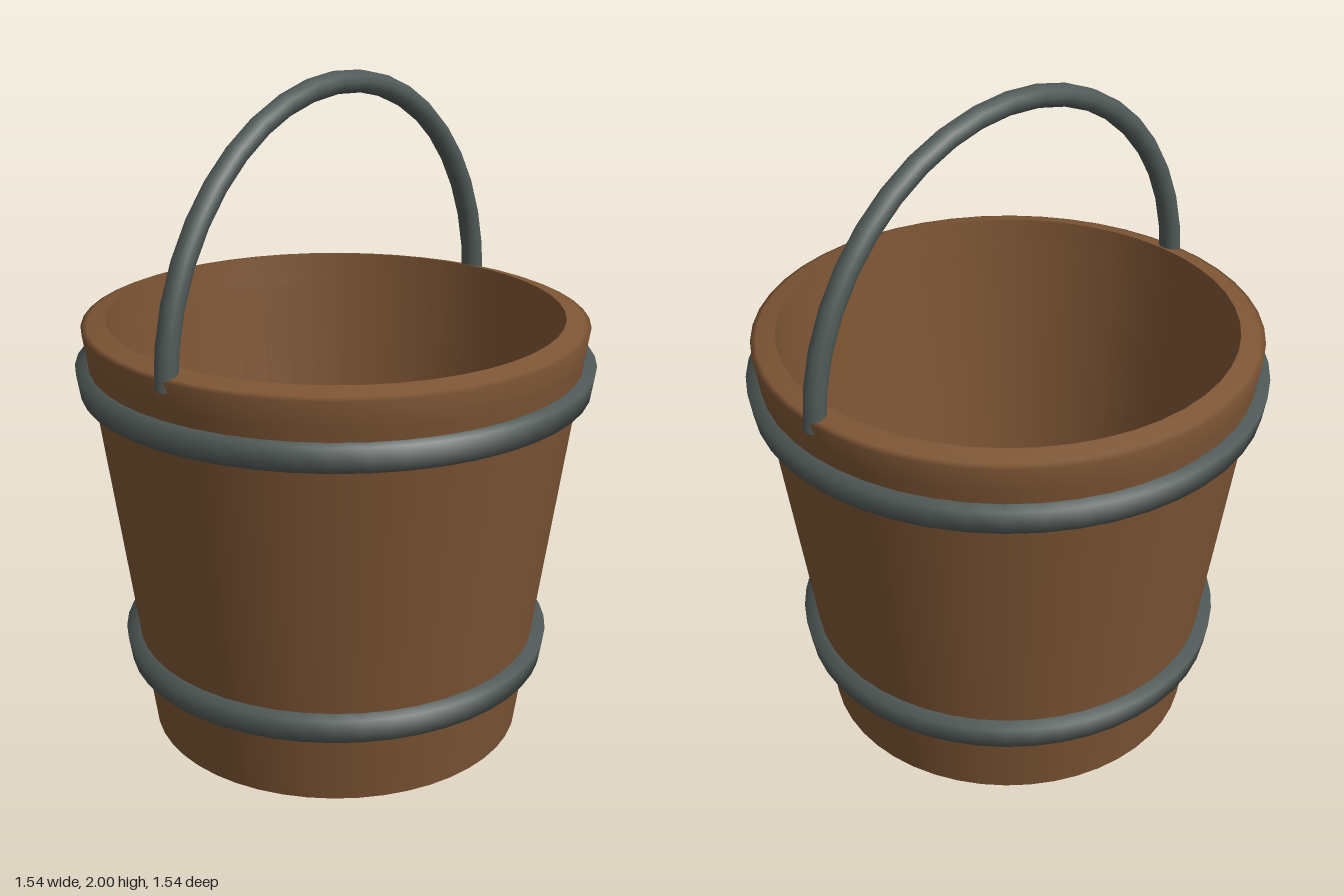
import * as THREE from 'three';

const SEGMENTS = 48;

function lathe(name, profile, material) {
  const points = profile.map(([r, y]) => new THREE.Vector2(r, y));
  const mesh = new THREE.Mesh(new THREE.LatheGeometry(points, SEGMENTS), material);
  mesh.name = name;
  return mesh;
}

export function createModel() {
  const group = new THREE.Group();
  group.name = 'bucket';
  const wood = new THREE.MeshStandardMaterial({ color: 0x7d5534 });
  const iron = new THREE.MeshStandardMaterial({ color: 0x505a58 });

  // Tapered body: recessed underside, outer wall with bevelled rim, hollow inside
  group.add(lathe('underside', [[0, 0.08], [0.55, 0.07], [0.57, 0]], wood));
  group.add(lathe('outerWall', [[0.57, 0], [0.735, 1.2], [0.747, 1.28], [0.73, 1.287], [0.675, 1.3]], wood));
  group.add(lathe('innerWall', [[0.675, 1.3], [0.665, 1.2], [0.54, 0.16], [0.51, 0.12], [0, 0.1]], wood));

  // Two hoops that follow the taper of the wall
  const hoops = [
    { name: 'lowerHoop', y: 0.228, r: 0.642 },
    { name: 'upperHoop', y: 1.088, r: 0.757 },
  ];
  for (const { name, y, r } of hoops) {
    group.add(lathe(name, [
      [r - 0.06, y + 0.008], [r, y], [r + 0.012, y + 0.075], [r - 0.05, y + 0.075],
    ], iron));
  }

  // Semicircular handle with capped ends
  const radius = 0.72, baseY = 1.247, thickness = 0.033;
  const arc = [];
  for (let i = 0; i <= 20; i++) {
    const a = Math.PI * i / 20;
    arc.push(new THREE.Vector3(radius * Math.cos(a), baseY + radius * Math.sin(a), 0));
  }
  const handle = new THREE.Group();
  handle.name = 'handle';
  const bar = new THREE.Mesh(
    new THREE.TubeGeometry(new THREE.CatmullRomCurve3(arc), 20, thickness, 10), iron);
  bar.name = 'handleBar';
  handle.add(bar);
  for (const side of [1, -1]) {
    const cap = new THREE.Mesh(new THREE.CircleGeometry(thickness, 10), iron);
    cap.name = side > 0 ? 'leftHandleEnd' : 'rightHandleEnd';
    cap.rotation.x = Math.PI / 2;
    cap.position.set(side * radius, baseY, 0);
    handle.add(cap);
  }
  group.add(handle);

  return group;
}
